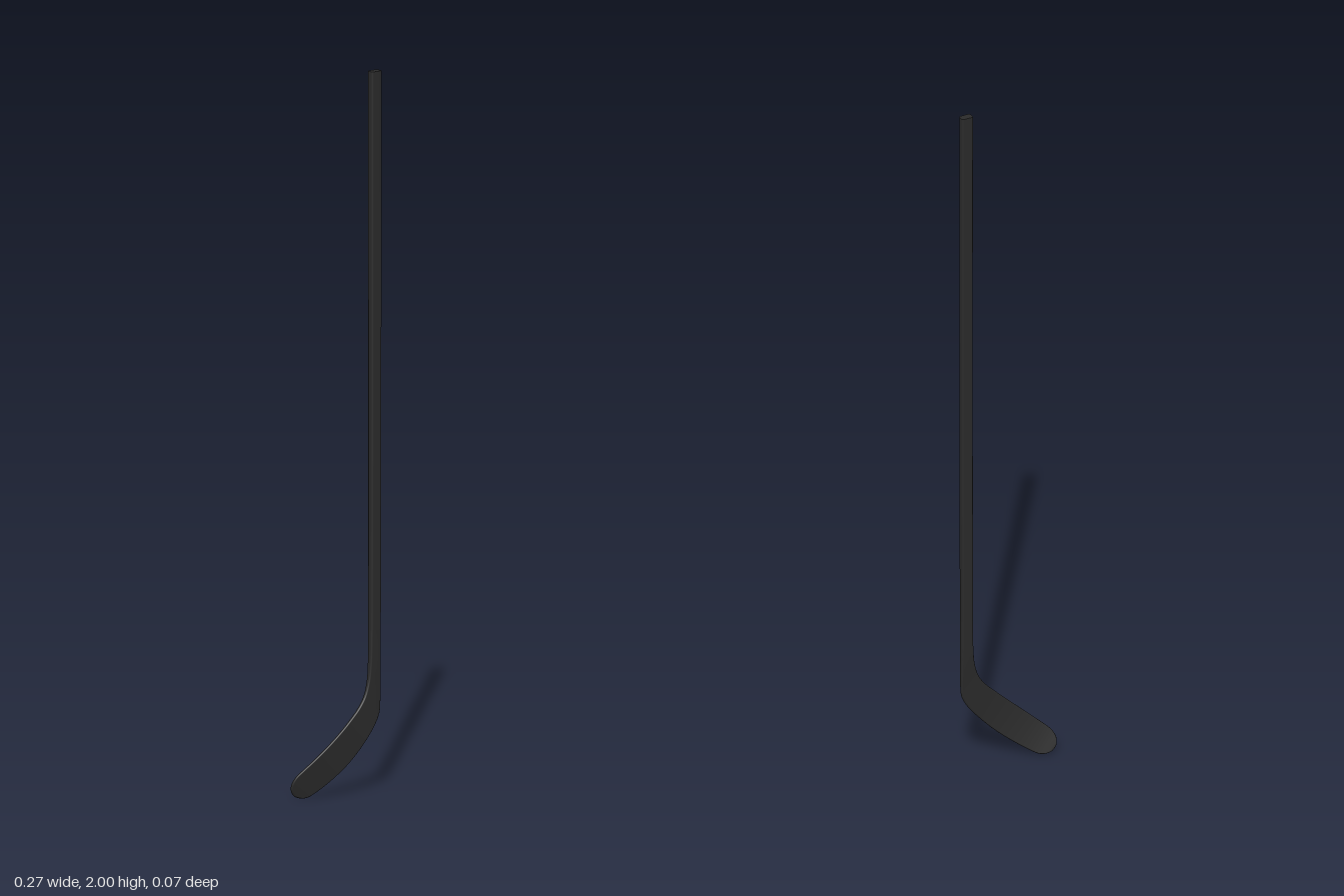
import * as THREE from 'three';

// Outline of a rounded rectangle, half sizes w and h, as [across, depth] pairs
function section(w, h) {
  const r = Math.min(0.006, w * 0.9, h * 0.85);
  const pts = [];
  for (let q = 0; q < 4; q++) {
    const sx = q === 0 || q === 3 ? 1 : -1;
    const sz = q < 2 ? 1 : -1;
    for (let k = 0; k <= 4; k++) {
      const a = (q + k / 4) * Math.PI / 2;
      pts.push([sx * (w - r) + r * Math.cos(a), sz * (h - r) + r * Math.sin(a)]);
    }
  }
  return pts;
}

// The blade sweeps backwards with distance from the heel
function depthAt(x, y) {
  const t = (0.115 - x) * 0.77 + (0.22 - y) * 0.64;
  return 0.021 - 0.8 * Math.max(0, t - 0.06) ** 2;
}

// Ring of points between an inner and an outer edge point
function ring([ax, ay, bx, by, thick]) {
  const w = Math.hypot(bx - ax, by - ay) / 2;
  return section(w, thick / 2).map(([u, d]) => {
    const f = 0.5 + u / (2 * w);
    const x = ax + (bx - ax) * f, y = ay + (by - ay) * f;
    return [x, y, depthAt(x, y) + d];
  });
}

// Skin through the rings from top to bottom, with flat end caps where asked
function loft(rows, capTop, capBottom) {
  const rings = rows.map(ring), n = rings[0].length;
  const pos = rings.flat(2), idx = [];
  for (let i = 0; i < rings.length - 1; i++) {
    for (let j = 0; j < n; j++) {
      const k = (j + 1) % n;
      const a = i * n + j, b = i * n + k, c = a + n, d = b + n;
      idx.push(a, b, c, b, d, c);
    }
  }
  const cap = (pts, up) => {
    const s = pos.length / 3;
    pos.push(...pts.flat());
    for (let j = 1; j < n - 1; j++) idx.push(s, up ? s + j + 1 : s + j, up ? s + j : s + j + 1);
  };
  if (capTop) cap(rings[0], true);
  if (capBottom) cap(rings[rings.length - 1], false);
  const geo = new THREE.BufferGeometry();
  geo.setAttribute('position', new THREE.Float32BufferAttribute(pos, 3));
  geo.setIndex(idx);
  geo.computeVertexNormals();
  return geo;
}

export function createModel() {
  const group = new THREE.Group();
  group.name = 'hockeyStick';
  const black = new THREE.MeshStandardMaterial({ color: 0x2a2a2a });
  black.name = 'matte black';

  const add = (name, geo) => {
    const mesh = new THREE.Mesh(geo, black);
    mesh.name = name;
    group.add(mesh);
  };

  // Straight shaft, slightly thinner towards the blade
  add('shaft', loft([
    [0.1, 2, 0.135, 2, 0.022],
    [0.1, 1.2, 0.135, 1.2, 0.021],
    [0.099, 0.45, 0.134, 0.45, 0.019],
  ], true, false));

  // Heel and blade: inner edge x, y, outer edge x, y, thickness
  const keys = [
    [0.099, 0.45, 0.134, 0.45, 0.019],
    [0.097, 0.36, 0.134, 0.33, 0.017],
    [0.092, 0.31, 0.134, 0.255, 0.014],
    [0.08, 0.27, 0.131, 0.217, 0.012],
    [0.06, 0.24, 0.114, 0.183, 0.011],
    [0.03, 0.21, 0.077, 0.138, 0.01],
    [-0.03, 0.155, 0.025, 0.085, 0.009],
    [-0.085, 0.106, -0.03, 0.04, 0.009],
    [-0.113, 0.081, -0.064, 0.016, 0.009],
    [-0.129, 0.064, -0.085, 0.004, 0.009],
    [-0.137, 0.044, -0.102, 0.002, 0.009],
    [-0.135, 0.026, -0.119, 0.007, 0.008],
    [-0.131, 0.018, -0.126, 0.012, 0.005],
  ];
  const inner = new THREE.CatmullRomCurve3(keys.map(k => new THREE.Vector3(k[0], k[1], k[4])));
  const outer = new THREE.CatmullRomCurve3(keys.map(k => new THREE.Vector3(k[2], k[3], 0)));
  const rows = [];
  for (let i = 0; i <= 48; i++) {
    const a = inner.getPoint(i / 48), b = outer.getPoint(i / 48);
    rows.push([a.x, a.y, b.x, b.y, a.z]);
  }
  add('blade', loft(rows, false, true));
  return group;
}
